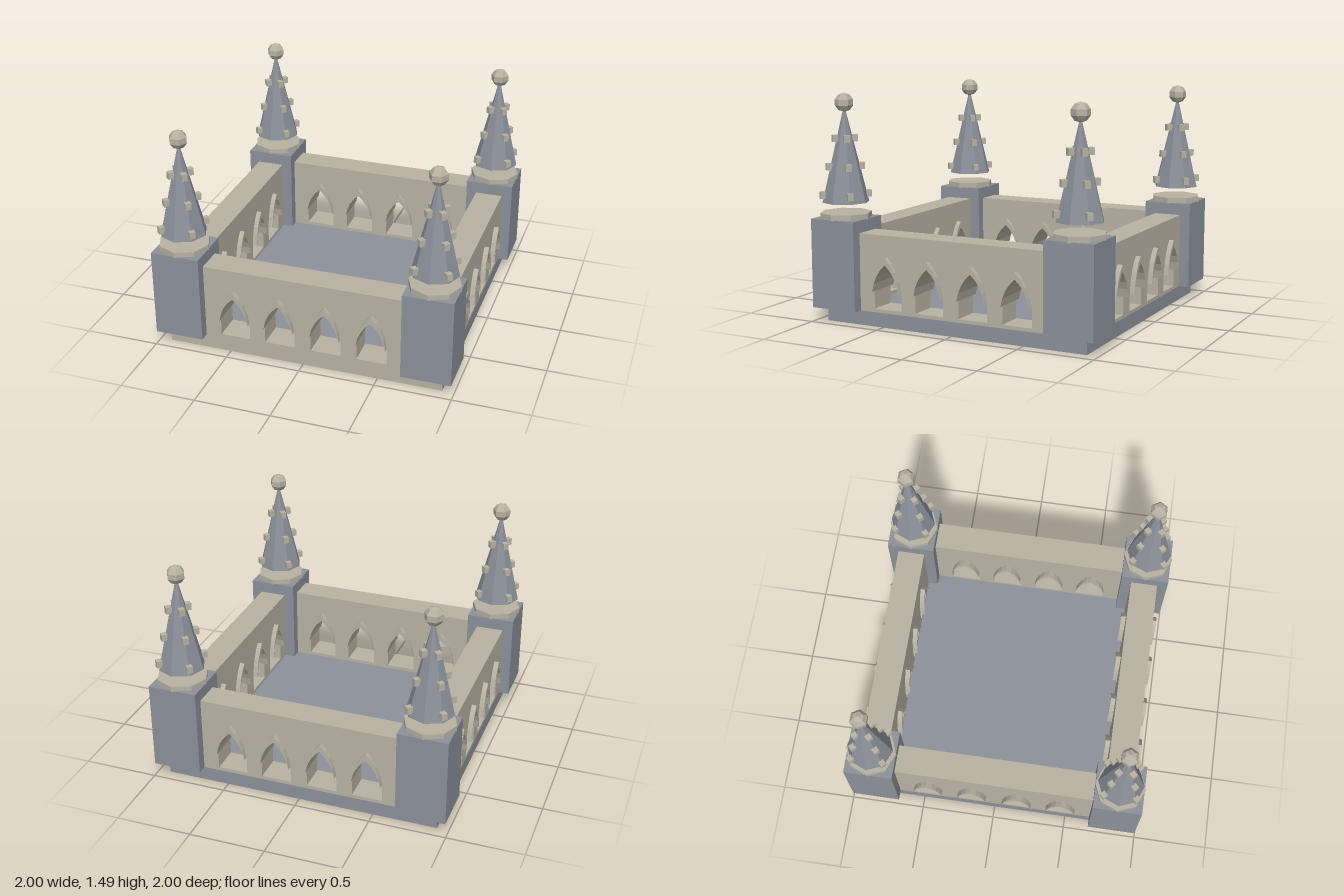
import * as THREE from 'three';

const stone = new THREE.MeshStandardMaterial({ color: 0xb8b2a4 });
stone.name = 'stone';
const slate = new THREE.MeshStandardMaterial({ color: 0x8b919a });
slate.name = 'slate';

const BASE = 0.095, CENTRE = 0.83;
const ARCHES = [-0.46, -0.155, 0.155, 0.46];

function add(parent, name, geometry, material, x = 0, y = 0, z = 0) {
  const mesh = new THREE.Mesh(geometry, material);
  mesh.name = name;
  mesh.position.set(x, y, z);
  parent.add(mesh);
  return mesh;
}

// Faceted: every face gets its own normal
function faceted(geometry) {
  const g = geometry.toNonIndexed();
  g.computeVertexNormals();
  return g;
}

// Points of a pointed arch from its right springing over the tip to the left
function archPoints(half, bulgeX, bulgeY, tip) {
  const right = new THREE.QuadraticBezierCurve(
    new THREE.Vector2(half, 0.235),
    new THREE.Vector2(bulgeX, bulgeY),
    new THREE.Vector2(0, tip)
  ).getPoints(4);
  const left = right.slice(0, -1).reverse().map(p => new THREE.Vector2(-p.x, p.y));
  return [...right, ...left];
}

const outerArch = archPoints(0.1, 0.078, 0.395, 0.46);
const innerArch = archPoints(0.097, 0.08, 0.35, 0.415);

function extrude(shape, depth) {
  const g = new THREE.ExtrudeGeometry(shape, { depth, bevelEnabled: false });
  g.translate(0, 0, -depth / 2);
  return g;
}

// Wall with four pointed openings, each with a projecting hood moulding
function makeWall() {
  const wall = new THREE.Group();
  const shape = new THREE.Shape([
    new THREE.Vector2(-0.7, BASE), new THREE.Vector2(0.7, BASE),
    new THREE.Vector2(0.7, 0.6), new THREE.Vector2(-0.7, 0.6)
  ]);
  const hood = extrude(new THREE.Shape([...outerArch, ...innerArch.slice().reverse()]), 0.25);
  for (const x of ARCHES) {
    const outline = [new THREE.Vector2(0.1, 0.118), ...outerArch, new THREE.Vector2(-0.1, 0.118)];
    shape.holes.push(new THREE.Path(outline.map(p => new THREE.Vector2(p.x + x, p.y))));
    add(wall, 'archHood', hood, stone, x);
  }
  add(wall, 'arcadeWall', extrude(shape, 0.185), stone);
  return wall;
}

// Corner pier with collar, spire, crockets and finial
function makeTower() {
  const tower = new THREE.Group();
  add(tower, 'pier', new THREE.BoxGeometry(0.325, 0.585, 0.325), slate, 0, BASE + 0.2925);
  add(tower, 'collar', faceted(new THREE.CylinderGeometry(0.168, 0.168, 0.038, 8)), stone, 0, 0.695);
  add(tower, 'spire', faceted(new THREE.ConeGeometry(0.153, 0.63, 8)), slate, 0, 1.095);
  const crocket = new THREE.BoxGeometry(0.038, 0.045, 0.038);
  for (const [y, r] of [[0.83, 0.15], [1.012, 0.105], [1.195, 0.064]]) {
    for (let i = 0; i < 4; i++) {
      const a = Math.PI / 4 + i * Math.PI / 2;
      add(tower, 'crocket', crocket, stone, r * Math.sin(a), y, r * Math.cos(a)).rotation.y = a;
    }
  }
  add(tower, 'finial', faceted(new THREE.SphereGeometry(0.062, 6, 5)), stone, 0, 1.425);
  return tower;
}

export function createModel() {
  const model = new THREE.Group();
  model.name = 'pinnacledCourtyard';

  // Floor slab, its front edge faced in wall stone
  add(model, 'floorSlab', new THREE.BoxGeometry(1.845, BASE, 1.845),
    [slate, slate, slate, slate, stone, slate], 0, BASE / 2);

  // Four walls
  for (let i = 0; i < 4; i++) {
    const side = new THREE.Group();
    side.name = ['frontWall', 'leftWall', 'backWall', 'rightWall'][i];
    const wall = makeWall();
    wall.position.z = CENTRE;
    side.add(wall);
    side.rotation.y = i * Math.PI / 2;
    model.add(side);
  }

  // Four corner towers
  for (const x of [-1, 1]) {
    for (const z of [-1, 1]) {
      const tower = makeTower();
      tower.name = (z > 0 ? 'front' : 'back') + (x > 0 ? 'Left' : 'Right') + 'Tower';
      tower.position.set(x * CENTRE, 0, z * CENTRE);
      model.add(tower);
    }
  }
  return model;
}
